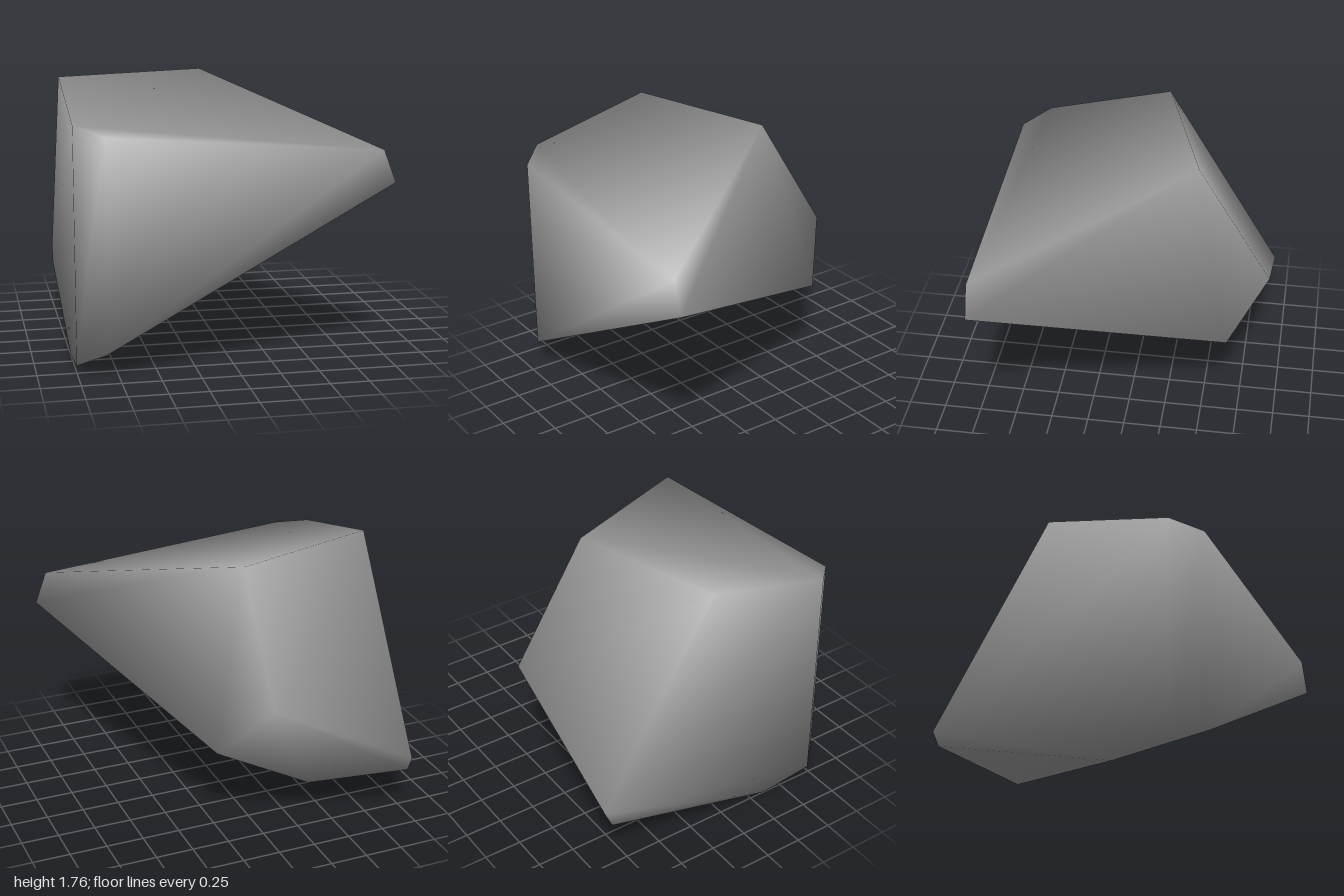
import * as THREE from 'three';

// Corners of the cut stone block
const P = {
  A: [-1, 1.76, -0.11], B: [0, 1.76, -0.42], C: [0.92, 1.38, 0.91], D: [-0.83, 1.51, 0.91], E: [-1, 1.56, 0.74],
  F: [1, 1.17, 0.91], G: [0.01, 0.96, -0.91], H: [-1, 0.43, -0.91], I: [0.29, 0.61, -0.66], J: [-0.37, 0.25, -0.65],
  K: [-1, 0.32, -0.86], L: [-1, 0, 0.36], M: [-1, 0.045, 0.74], N: [-0.83, 0.155, 0.91],
};

// Flat cuts: top, front, side, chamfer, slanted side, back, lower back, underside, small lower cut
const cuts = ['ABCDE', 'DCFN', 'AEMLKH', 'EDNM', 'BCFIG', 'ABGH', 'GIJKH', 'FNMLJI', 'LKJ'];

// Closed convex shell with normals averaged by corner angle
function stoneGeometry() {
  const names = Object.keys(P);
  const pts = names.map((n) => new THREE.Vector3(...P[n]));
  const normals = pts.map(() => new THREE.Vector3());
  const centre = new THREE.Vector3();
  pts.forEach((p) => centre.addScaledVector(p, 1 / pts.length));
  const index = [];

  for (const cut of cuts) {
    let loop = [...cut].map((c) => names.indexOf(c));
    const normal = new THREE.Vector3();
    loop.forEach((v, i) => {
      const a = pts[v].clone().sub(pts[loop[0]]);
      const b = pts[loop[(i + 1) % loop.length]].clone().sub(pts[loop[0]]);
      normal.add(a.cross(b));
    });
    normal.normalize();
    // Keep every cut facing outward
    if (normal.dot(pts[loop[0]].clone().sub(centre)) < 0) {
      normal.negate();
      loop = loop.reverse();
    }
    const n = loop.length;
    loop.forEach((v, i) => {
      const next = pts[loop[(i + 1) % n]].clone().sub(pts[v]);
      const prev = pts[loop[(i + n - 1) % n]].clone().sub(pts[v]);
      normals[v].addScaledVector(normal, next.angleTo(prev));
    });
    for (let i = 1; i < n - 1; i++) index.push(loop[0], loop[i], loop[i + 1]);
  }

  const geometry = new THREE.BufferGeometry();
  geometry.setAttribute('position', new THREE.Float32BufferAttribute(pts.flatMap((p) => p.toArray()), 3));
  geometry.setAttribute('normal', new THREE.Float32BufferAttribute(normals.flatMap((v) => v.normalize().toArray()), 3));
  geometry.setIndex(index);
  return geometry;
}

export function createModel() {
  const group = new THREE.Group();
  group.name = 'stone';
  const stoneGrey = new THREE.MeshStandardMaterial({ color: 0x999999 });
  stoneGrey.name = 'stoneGrey';
  const block = new THREE.Mesh(stoneGeometry(), stoneGrey);
  block.name = 'stoneBlock';
  group.add(block);
  return group;
}
